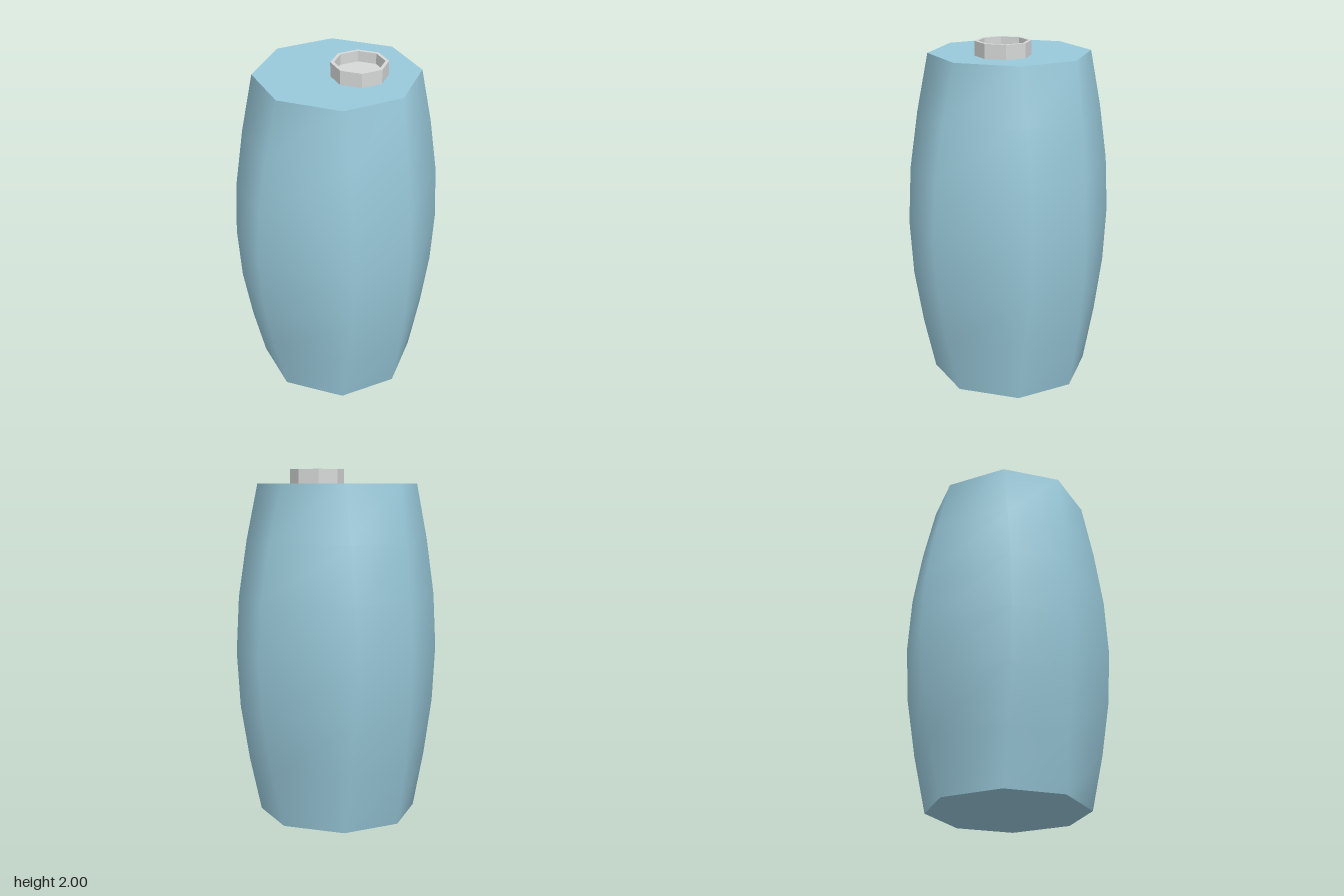
import * as THREE from 'three';

const blue = new THREE.MeshStandardMaterial({ color: 0x99c9da });
blue.name = 'paleBlue';
const grey = new THREE.MeshStandardMaterial({ color: 0xd6d8d7 });
grey.name = 'lightGrey';

const HEIGHT = 1.92;

// Corners of a chamfered square: half width h, half length of each flat side f
function octagon(h, f) {
  return [[h, -f], [h, f], [f, h], [-f, h], [-h, f], [-h, -f], [-f, -h], [f, -h]];
}

function octagonShape(h, f, Type = THREE.Shape) {
  return new Type(octagon(h, f).map(([x, y]) => new THREE.Vector2(x, y)));
}

// Bulging side wall with shared vertices for smooth shading
function barrelWall(rows) {
  const positions = [];
  const indices = [];
  for (let r = 0; r <= rows; r++) {
    const bulge = 0.1 * Math.sin((Math.PI * r) / rows);
    for (const [x, z] of octagon(0.42 + bulge, 0.18 + bulge)) {
      positions.push(x, (HEIGHT * r) / rows, z);
    }
  }
  for (let r = 0; r < rows; r++) {
    for (let i = 0; i < 8; i++) {
      const a = r * 8 + i;
      const b = r * 8 + ((i + 1) % 8);
      indices.push(a, a + 8, b, b, a + 8, b + 8);
    }
  }
  const geometry = new THREE.BufferGeometry();
  geometry.setAttribute('position', new THREE.Float32BufferAttribute(positions, 3));
  geometry.setIndex(indices);
  geometry.computeVertexNormals();
  return geometry;
}

function add(group, name, geometry, material) {
  const mesh = new THREE.Mesh(geometry, material);
  mesh.name = name;
  group.add(mesh);
  return mesh;
}

export function createModel() {
  const model = new THREE.Group();
  model.name = 'barrel';

  // Body and its flat ends
  add(model, 'bodyWall', barrelWall(6), blue);
  const end = new THREE.ShapeGeometry(octagonShape(0.42, 0.18));
  const top = add(model, 'bodyTop', end, blue);
  top.rotation.x = -Math.PI / 2;
  top.position.y = HEIGHT;
  add(model, 'bodyBottom', end, blue).rotation.x = Math.PI / 2;

  // Off-centre filler cap: raised rim around a recessed floor
  const cap = new THREE.Group();
  cap.name = 'fillerCap';
  cap.position.set(0.125, HEIGHT, 0);
  cap.rotation.x = -Math.PI / 2;
  const rimShape = octagonShape(0.143, 0.06);
  rimShape.holes.push(octagonShape(0.125, 0.052, THREE.Path));
  add(cap, 'capRim', new THREE.ExtrudeGeometry(rimShape, { depth: 0.08, bevelEnabled: false }), grey);
  const floor = new THREE.ShapeGeometry(octagonShape(0.125, 0.052));
  add(cap, 'capFloor', floor, grey).position.z = 0.02;
  model.add(cap);

  return model;
}
